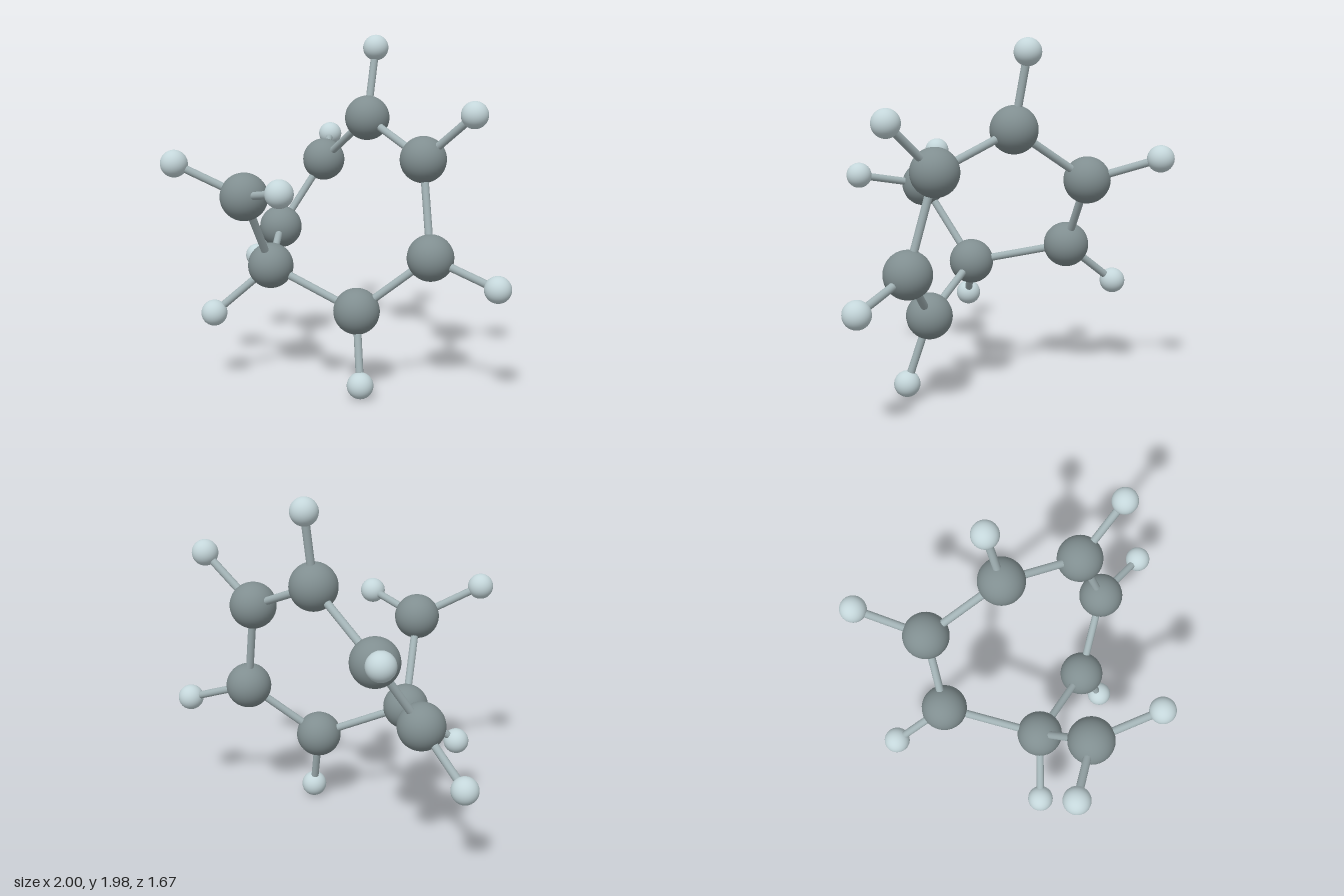
import * as THREE from 'three';

const largeMat = new THREE.MeshStandardMaterial({ color: 0x808e90 });
const smallMat = new THREE.MeshStandardMaterial({ color: 0xc4d6da });
const bondMat = new THREE.MeshStandardMaterial({ color: 0xa2b2b5 });

// Each large atom: position, then the small atoms attached to it
const atoms = [
  { at: [-0.05, 1.51, -0.4], small: [[-0.07, 1.915, -0.485]] },
  { at: [0.43, 1.31, -0.365], small: [[0.745, 1.57, -0.415]] },
  { at: [0.555, 0.785, -0.3], small: [[0.925, 0.655, -0.425]] },
  { at: [0.25, 0.47, -0.035], small: [[0.355, 0.08, 0.035]] },
  { at: [-0.21, 0.69, 0.205], small: [[-0.385, 0.425, 0.48]] },
  { at: [-0.605, 0.81, -0.195], small: [[-0.925, 0.565, -0.255]] },
  { at: [-0.51, 1.22, -0.47], small: [[-0.775, 1.345, -0.765]] },
  { at: [-0.065, 1.135, 0.5], small: [[-0.335, 1.31, 0.76], [0.335, 1.205, 0.585]] },
];
// Seven-membered ring plus one branch
const links = [[0, 1], [1, 2], [2, 3], [3, 4], [4, 5], [5, 6], [6, 0], [4, 7]];

const largeGeo = new THREE.SphereGeometry(0.13, 32, 24);
const smallGeo = new THREE.SphereGeometry(0.074, 32, 24);

function ball(name, geometry, material, p) {
  const mesh = new THREE.Mesh(geometry, material);
  mesh.name = name;
  mesh.position.set(...p);
  return mesh;
}

// Thin rod running between two atom centres
function bond(a, b) {
  const start = new THREE.Vector3(...a);
  const end = new THREE.Vector3(...b);
  const dir = end.clone().sub(start);
  const mesh = new THREE.Mesh(new THREE.CylinderGeometry(0.022, 0.022, dir.length(), 16), bondMat);
  mesh.name = 'bond';
  mesh.position.copy(start).lerp(end, 0.5);
  mesh.quaternion.setFromUnitVectors(new THREE.Vector3(0, 1, 0), dir.normalize());
  return mesh;
}

export function createModel() {
  const model = new THREE.Group();
  model.name = 'molecule';
  for (const { at, small } of atoms) {
    model.add(ball('largeAtom', largeGeo, largeMat, at));
    for (const p of small) {
      model.add(ball('smallAtom', smallGeo, smallMat, p), bond(at, p));
    }
  }
  for (const [i, j] of links) model.add(bond(atoms[i].at, atoms[j].at));
  return model;
}
